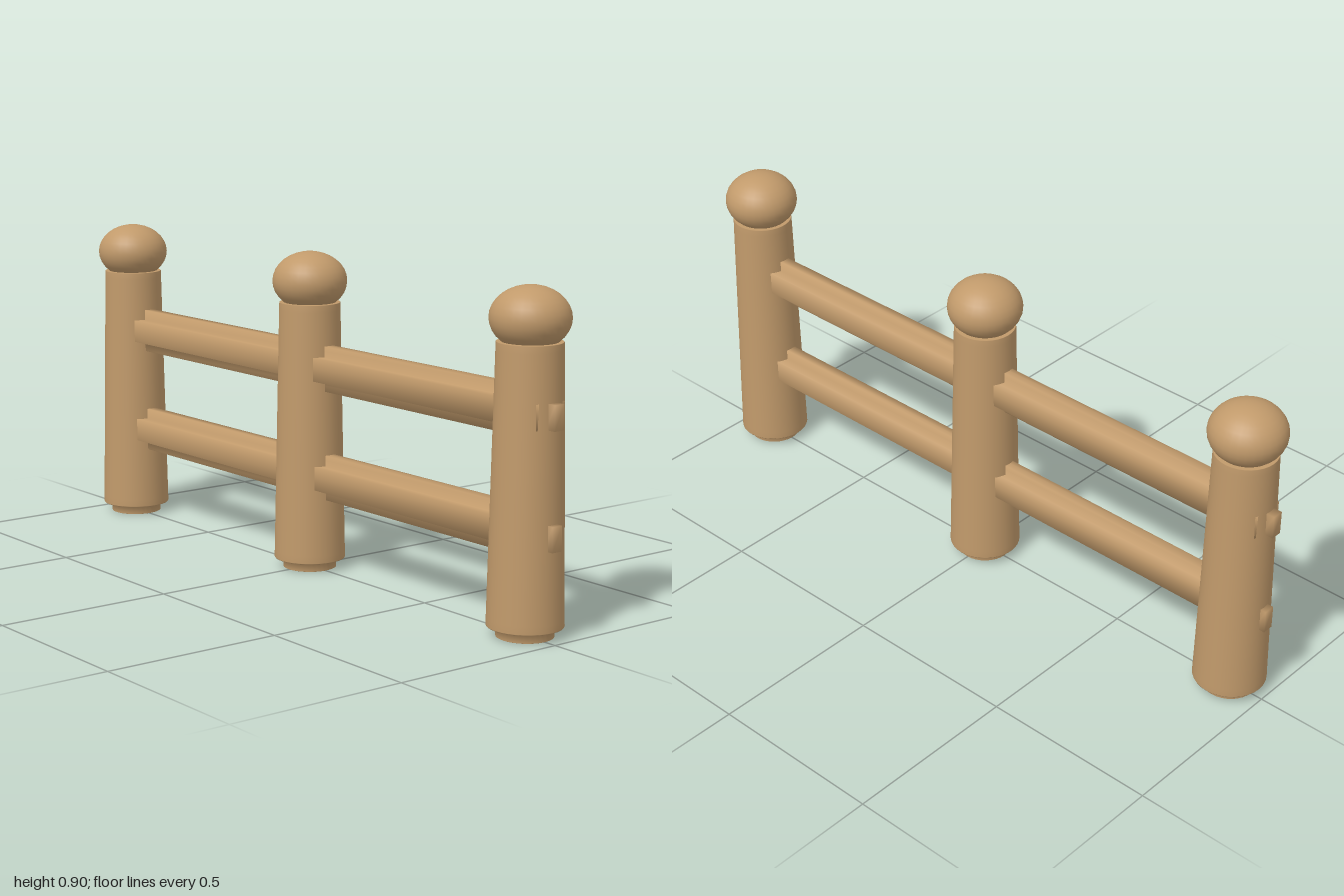
import * as THREE from 'three';
import { mergeVertices } from 'three/addons/utils/BufferGeometryUtils.js';

const wood = new THREE.MeshStandardMaterial({ color: 0xc19a6b });
wood.name = 'wood';

// Welds shared corners so the edges shade softly
function soften(geometry) {
  geometry.deleteAttribute('normal');
  geometry.deleteAttribute('uv');
  const welded = mergeVertices(geometry, 1e-5);
  welded.computeVertexNormals();
  return welded;
}

// Tapered round post standing on a narrower foot
function postGeometry() {
  const profile = [
    [0, 0], [0.073, 0], [0.075, 0.001], [0.075, 0.028], [0.099, 0.028], [0.1, 0.03],
    [0.0995, 0.05], [0.0855, 0.735], [0.085, 0.754], [0.084, 0.755], [0, 0.755],
  ].map(([x, y]) => new THREE.Vector2(x, y));
  return new THREE.LatheGeometry(profile, 32);
}

// Rail with a square notch along each long edge
function railGeometry(length) {
  const z0 = 0.016, z1 = 0.047, y0 = 0.033, y1 = 0.063;
  const quarter = [[z1, y0], [z0, y0], [z0, y1]];
  const flip = (pts, sx, sy) => pts.map(([x, y]) => [x * sx, y * sy]);
  const outline = [
    ...quarter,
    ...flip(quarter, -1, 1).reverse(),
    ...flip(quarter, -1, -1),
    ...flip(quarter, 1, -1).reverse(),
  ].map(([x, y]) => new THREE.Vector2(x, y));
  const geometry = new THREE.ExtrudeGeometry(new THREE.Shape(outline), { depth: length, bevelEnabled: false });
  geometry.translate(0, 0, -length / 2);
  geometry.rotateY(Math.PI / 2);
  return soften(geometry);
}

export function createModel() {
  const group = new THREE.Group();
  group.name = 'fence';

  const add = (geometry, name, x, y) => {
    const mesh = new THREE.Mesh(geometry, wood);
    mesh.name = name;
    mesh.position.set(x, y, 0);
    group.add(mesh);
    return mesh;
  };

  // Three posts with flattened ball caps
  const post = postGeometry();
  const ball = new THREE.SphereGeometry(0.104, 32, 16);
  ball.scale(1, 0.79, 1);
  for (const [side, x] of [['right', -0.89], ['middle', 0], ['left', 0.89]]) {
    add(post, side + 'Post', x, 0);
    add(ball, side + 'PostCap', x, 0.814);
  }

  // Two rails running through the posts, with tenons showing at the ends
  const half = 0.968;
  const rail = railGeometry(half * 2);
  const tenon = soften(new THREE.BoxGeometry(1 - half, 0.066, 0.032));
  for (const [level, y] of [['lower', 0.272], ['upper', 0.578]]) {
    add(rail, level + 'Rail', 0, y);
    for (const s of [-1, 1]) {
      add(tenon, level + (s > 0 ? 'LeftTenon' : 'RightTenon'), s * (1 + half) / 2, y);
    }
  }

  return group;
}
